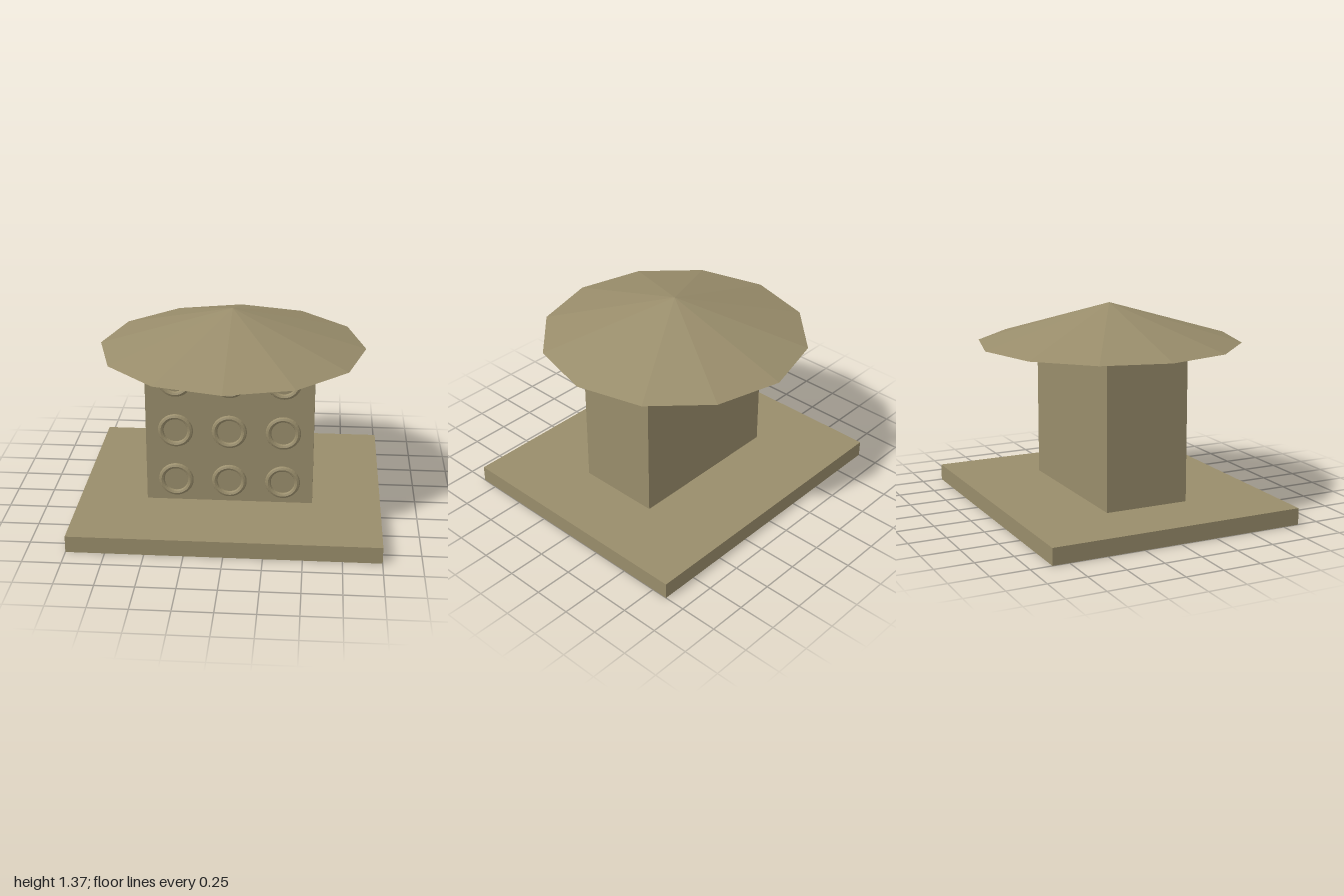
import * as THREE from 'three';

export function createModel() {
  const model = new THREE.Group();
  const stone = new THREE.MeshStandardMaterial({ color: 0x998d6b, flatShading: true });
  stone.name = 'tan stone';

  const add = (name, geometry, x, y, z) => {
    const mesh = new THREE.Mesh(geometry, stone);
    mesh.name = name;
    mesh.position.set(x, y, z);
    model.add(mesh);
  };

  // Ground slab and main block
  add('base', new THREE.BoxGeometry(2, 0.11, 1.72), 0, 0.055, 0);
  add('body', new THREE.BoxGeometry(1.1, 0.995, 0.57), 0, 0.6075, 0);

  // Twelve-sided conical roof with a flat underside
  add('roof', new THREE.ConeGeometry(0.875, 0.26, 12), 0, 1.235, 0);

  // Three by three grid of rings on the front wall
  const ring = new THREE.TorusGeometry(0.0965, 0.0185, 8, 32);
  for (let row = 0; row < 3; row++) {
    for (let col = -1; col <= 1; col++) {
      add('windowRing', ring, col * 0.352, 0.267 + row * 0.352, 0.305);
    }
  }
  return model;
}
